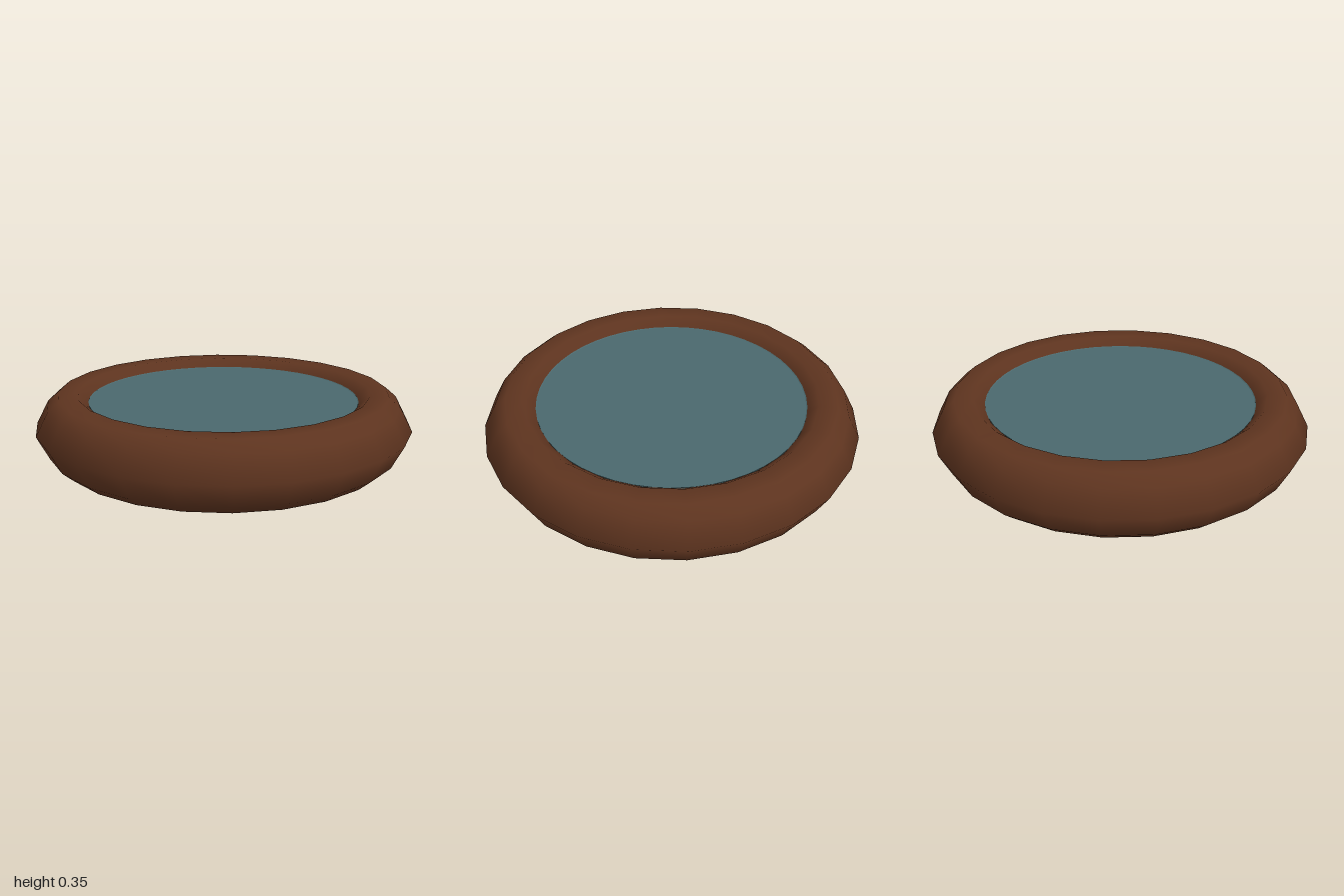
import * as THREE from 'three';

const MID = 0.176; // height of the middle plane

function makeMaterial(name, color) {
  const material = new THREE.MeshStandardMaterial({ color });
  material.name = name;
  return material;
}

// Turned part; half a step of rotation makes flat sides face the axes
function lathe(name, profile, sides, material, flat) {
  const points = profile.map(([r, y]) => new THREE.Vector2(r, y));
  let geometry = new THREE.LatheGeometry(points, sides, Math.PI / sides);
  if (flat) {
    geometry = geometry.toNonIndexed();
    geometry.computeVertexNormals();
  }
  const mesh = new THREE.Mesh(geometry, material);
  mesh.name = name;
  return mesh;
}

export function createModel() {
  const brown = makeMaterial('brown', 0x5e341f);
  const teal = makeMaterial('greyTeal', 0x4a686d);
  const green = makeMaterial('darkGreen', 0x3e5f4a);

  const model = new THREE.Group();
  model.name = 'ringWithPanes';

  // Thick ring: ten-sided closed section, mirrored about its centre
  const c = 0.833;
  const quarter = [[0.176, 0], [0.111, 0.125], [0.051, 0.176]];
  const at = (i, sx, sy) => [c + sx * quarter[i][0], MID + sy * quarter[i][1]];
  model.add(lathe('ring', [
    at(0, -1, 0), at(1, -1, -1), at(2, -1, -1),
    at(2, 1, -1), at(1, 1, -1), at(0, 1, 0), at(1, 1, 1), at(2, 1, 1),
    at(2, -1, 1), at(1, -1, 1), at(0, -1, 0),
  ], 24, brown, false));

  // Two panes filling the opening back to back, each with a fine raised lip
  const h = 0.129;
  model.add(lathe('topPane', [
    [0.725, MID], [0.725, MID + h + 0.003], [0.72, MID + h], [0, MID + h],
  ], 48, teal, true));
  model.add(lathe('bottomPane', [
    [0, MID - h], [0.72, MID - h], [0.725, MID - h - 0.003], [0.725, MID],
  ], 48, green, true));

  return model;
}
